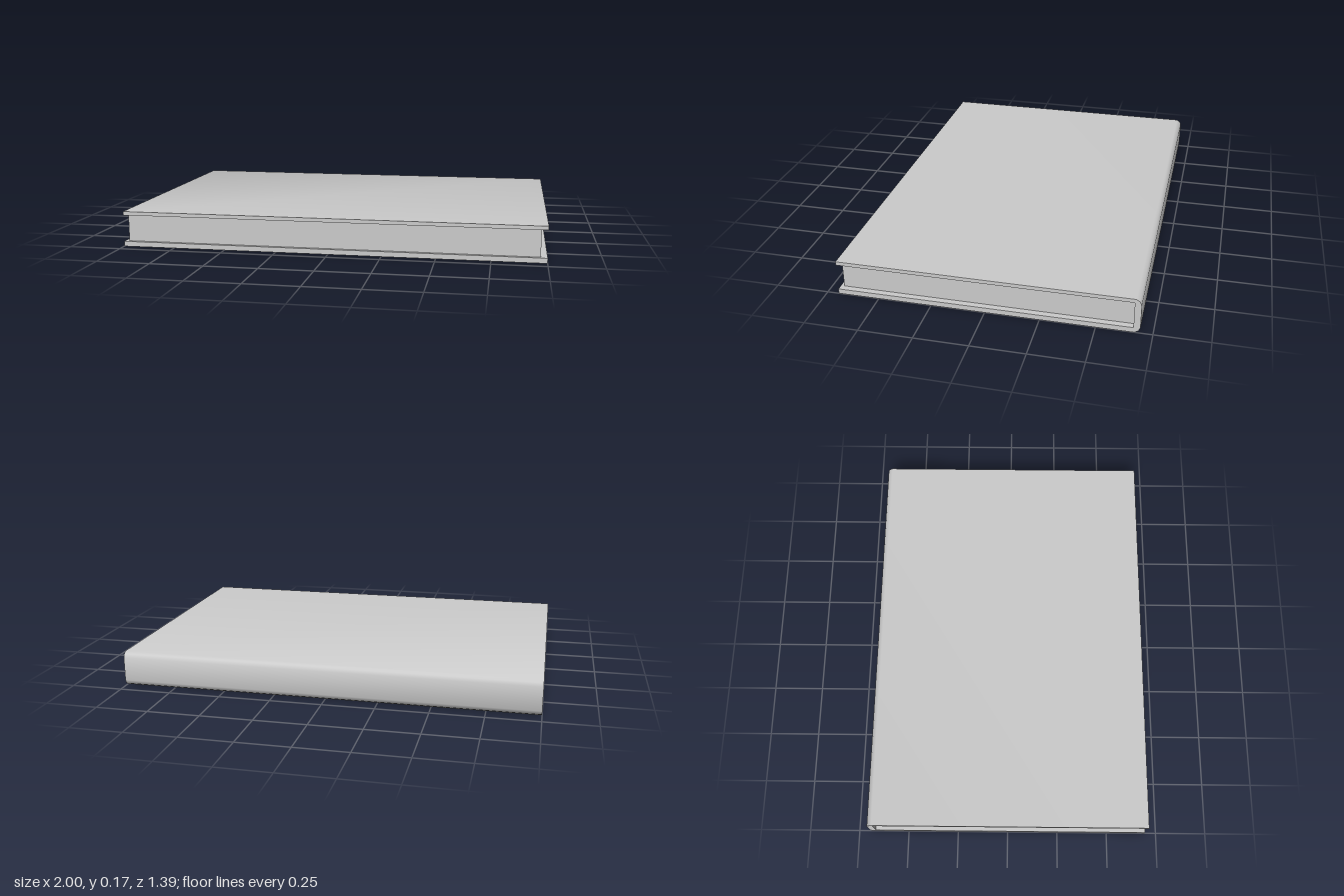
import * as THREE from 'three';
import { toCreasedNormals } from 'three/addons/utils/BufferGeometryUtils.js';

export function createModel() {
  const book = new THREE.Group();
  book.name = 'book';
  const material = new THREE.MeshStandardMaterial({ color: 0xcccccc });

  // Cover: C-shaped section (depth towards the spine, height) with a rounded spine
  const section = [
    [-0.695, 0], [0.67, 0], [0.687, 0.01], [0.695, 0.028],
    [0.695, 0.142], [0.687, 0.16], [0.67, 0.17], [-0.695, 0.17],
    [-0.695, 0.152], [0.665, 0.152], [0.665, 0.024], [-0.695, 0.024],
  ];
  const shape = new THREE.Shape(section.map(([d, y]) => new THREE.Vector2(d, y)));
  const extruded = new THREE.ExtrudeGeometry(shape, { depth: 2, bevelEnabled: false });
  extruded.translate(0, 0, -1);
  extruded.rotateY(Math.PI / 2);
  const cover = new THREE.Mesh(toCreasedNormals(extruded, 0.7), material);
  cover.name = 'cover';
  book.add(cover);

  // Page block, set in from the open edges of the cover
  const pages = new THREE.Mesh(new THREE.BoxGeometry(1.95, 0.126, 1.343), material);
  pages.name = 'pages';
  pages.position.set(-0.005, 0.087, 0.0065);
  book.add(pages);

  return book;
}
